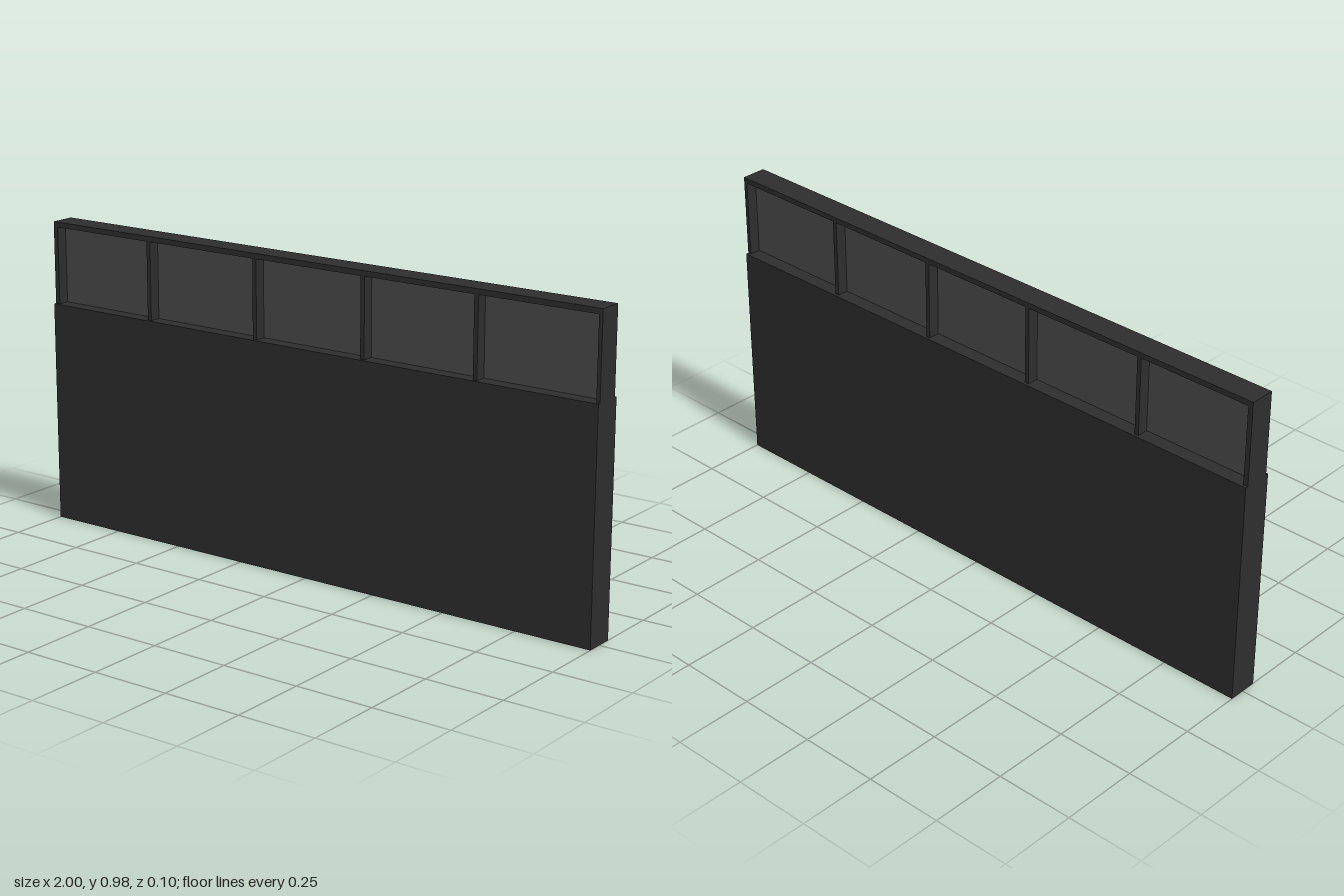
import * as THREE from 'three';

export function createModel() {
  const group = new THREE.Group();
  const frameMat = new THREE.MeshStandardMaterial({ color: 0x2d2d2d });
  frameMat.name = 'dark charcoal';
  const paneMat = new THREE.MeshStandardMaterial({ color: 0x4a4a4a });
  paneMat.name = 'grey glass';

  // Adds a box given by its x and y limits and its depth, centred on z = 0
  function slab(name, x0, x1, y0, y1, depth, material) {
    const mesh = new THREE.Mesh(new THREE.BoxGeometry(x1 - x0, y1 - y0, depth), material);
    mesh.position.set((x0 + x1) / 2, (y0 + y1) / 2, 0);
    mesh.name = name;
    group.add(mesh);
  }

  const wallTop = 0.715, top = 0.98, railBottom = 0.963, frameDepth = 0.08;

  // Solid lower wall
  slab('lowerWall', -1, 1, 0, wallTop, 0.098, frameMat);

  // Top rail of the window band
  slab('topRail', -1, 1, railBottom, top, frameDepth, frameMat);

  // Left and right limits of each upright: end posts and mullions
  const uprights = [[-1, -0.984], [-0.615, -0.601], [-0.201, -0.187], [0.196, 0.21], [0.587, 0.601], [0.988, 1]];
  uprights.forEach(([x0, x1], i) => {
    const isEnd = i === 0 || i === uprights.length - 1;
    slab(isEnd ? 'endPost' : 'mullion', x0, x1, wallTop, railBottom, frameDepth, frameMat);
    // Thin pane recessed between this upright and the next
    if (i < uprights.length - 1) {
      slab('windowPane', x1, uprights[i + 1][0], wallTop, railBottom, 0.008, paneMat);
    }
  });

  return group;
}
